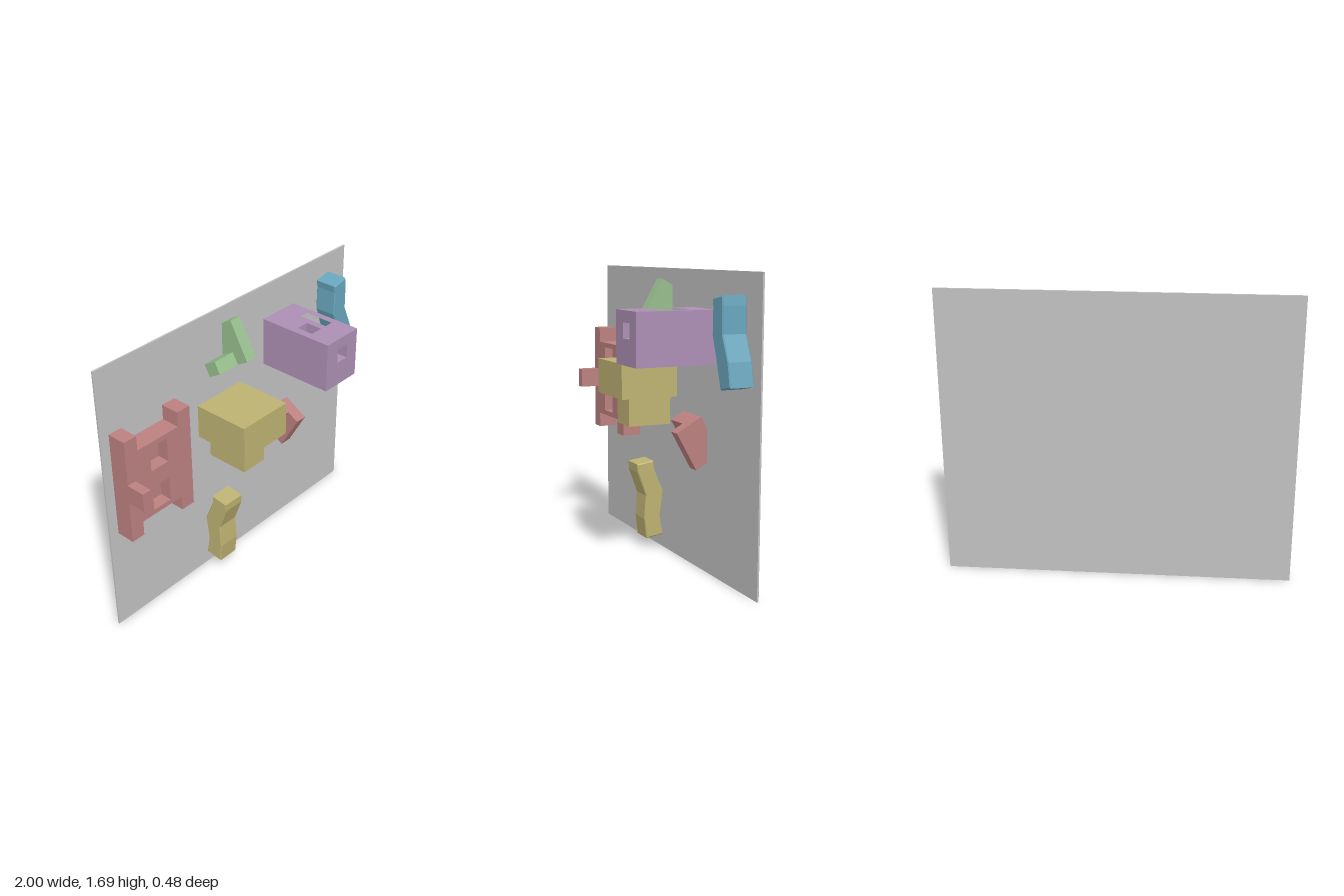
import * as THREE from 'three';

const material = (name, color) => {
  const m = new THREE.MeshStandardMaterial({ color });
  m.name = name;
  return m;
};
const polygon = (points, holes = []) => {
  const shape = new THREE.Shape(points.map(([x, y]) => new THREE.Vector2(x, y)));
  for (const hole of holes) shape.holes.push(new THREE.Path(hole.map(([x, y]) => new THREE.Vector2(x, y))));
  return shape;
};
const rect = (x0, x1, y0, y1) => [[x0, y0], [x1, y0], [x1, y1], [x0, y1]];

export function createModel() {
  const root = new THREE.Group();
  root.name = 'climbingWall';
  const grey = material('panel grey', 0xc2c2c2);
  const red = material('dusty red', 0xbc8080);
  const green = material('soft green', 0x97be8d);
  const yellow = material('mustard', 0xbdb272);
  const purple = material('mauve', 0xac8fb4);
  const blue = material('teal blue', 0x69a6bd);
  const BACK = -0.23;

  const add = (parent, name, geometry, mat) => {
    const mesh = new THREE.Mesh(geometry, mat);
    mesh.name = name;
    parent.add(mesh);
    return mesh;
  };
  const group = (name) => {
    const g = new THREE.Group();
    g.name = name;
    root.add(g);
    return g;
  };
  const box = (parent, name, mat, x0, x1, y0, y1, z0, z1) => add(parent, name,
    new THREE.BoxGeometry(x1 - x0, y1 - y0, z1 - z0)
      .translate((x0 + x1) / 2, (y0 + y1) / 2, (z0 + z1) / 2), mat);
  // Prism between two depths, optionally with softened edges
  const prism = (shape, from, to, bevel = 0) => new THREE.ExtrudeGeometry(shape, {
    depth: to - from - 2 * bevel, bevelEnabled: bevel > 0, bevelThickness: bevel,
    bevelSize: bevel, bevelOffset: -bevel, bevelSegments: 1,
  }).translate(0, 0, from + bevel);
  // Side profile given as [z, y], extended along x
  const sidePrism = (points, x0, x1, bevel) =>
    prism(polygon(points.map(([z, y]) => [-z, y])), x0, x1, bevel).rotateY(Math.PI / 2);
  // Plan outline given as [x, z], extended along y
  const planPrism = (points, holes, y0, y1) => {
    const flip = (list) => list.map(([x, z]) => [x, -z]);
    return prism(polygon(flip(points), holes.map(flip)), y0, y1).rotateX(-Math.PI / 2);
  };

  // Backing panel
  box(root, 'wallPanel', grey, -1, 1, 0, 1.69, -0.24, BACK);

  // Notched red hold with two pockets and a peg
  const frame = group('pocketHold');
  const outline = [[-0.94, 0.64], [-0.855, 0.64], [-0.855, 0.73], [-0.56, 0.73], [-0.56, 0.64], [-0.47, 0.64],
    [-0.47, 1.29], [-0.56, 1.29], [-0.56, 1.2], [-0.855, 1.2], [-0.855, 1.29], [-0.94, 1.29]];
  const pockets = [rect(-0.77, -0.645, 0.76, 0.91), rect(-0.77, -0.645, 1.02, 1.17)];
  add(frame, 'pocketHoldBack', prism(polygon(outline), BACK, -0.19), red);
  add(frame, 'pocketHoldFront', prism(polygon(outline, pockets), -0.19, -0.115), red);
  box(frame, 'pocketHoldPeg', red, -0.94, -0.885, 0.905, 1.02, -0.115, 0);

  // Tilted L holds; the second is the first turned upside down
  const arm = [[-0.114, 1.375], [-0.151, 1.44], [-0.229, 1.395], [-0.192, 1.33]];
  const post = [[-0.045, 1.415], [-0.165, 1.63], [-0.23, 1.593], [-0.23, 1.396], [-0.192, 1.33]];
  const angleHold = (name, mat, x, place) => {
    const g = group(name);
    add(g, name + 'Arm', sidePrism(arm.map(place), x, x + 0.145), mat);
    add(g, name + 'Post', sidePrism(post.map(place), x + 0.145, x + 0.22), mat);
  };
  angleHold('uprightAngleHold', green, -0.23, (p) => p);
  angleHold('hangingAngleHold', red, 0.213, ([z, y]) => [z, 2.22 - y]);

  // Stepped block hold
  const block = group('steppedHold');
  box(block, 'steppedHoldTop', yellow, -0.295, 0.055, 0.95, 1.155, BACK, 0.12);
  box(block, 'steppedHoldStem', yellow, -0.205, -0.035, 0.775, 0.95, BACK, 0.035);

  // Deep box hold: a top well joined to a front opening
  const deep = group('hollowBoxHold');
  const plan = rect(0.26, 0.525, BACK, 0.24);
  const well = rect(0.307, 0.483, -0.09, 0.09);
  const keyhole = [[0.26, BACK], [0.525, BACK], [0.525, 0.24], [0.438, 0.24], [0.438, 0.09], [0.483, 0.09],
    [0.483, -0.09], [0.307, -0.09], [0.307, 0.09], [0.353, 0.09], [0.353, 0.24], [0.26, 0.24]];
  add(deep, 'hollowBoxBase', planPrism(plan, [], 1.185, 1.33), purple);
  add(deep, 'hollowBoxMiddle', planPrism(keyhole, [], 1.33, 1.415), purple);
  add(deep, 'hollowBoxRim', planPrism(plan, [well], 1.415, 1.48), purple);

  // Bent bar hold, curving sideways
  const sideways = [[0.735, 1.553], [0.743, 1.51], [0.74, 1.365], [0.785, 1.24], [0.832, 1.09],
    [0.936, 1.112], [0.911, 1.24], [0.85, 1.375], [0.849, 1.52], [0.842, 1.573]];
  add(root, 'sidewaysBentHold', prism(polygon(sideways), BACK, -0.09, 0.006), blue);

  // Bent bar hold, curving outward
  const outward = [[-0.058, 0.525], [-0.165, 0.54], [-0.174, 0.48], [-0.23, 0.346], [-0.21, 0.19],
    [-0.23, 0.078], [-0.12, 0.063], [-0.105, 0.185], [-0.115, 0.328], [-0.061, 0.475]];
  add(root, 'outwardBentHold', sidePrism(outward, -0.265, -0.125, 0.006), yellow);

  return root;
}
